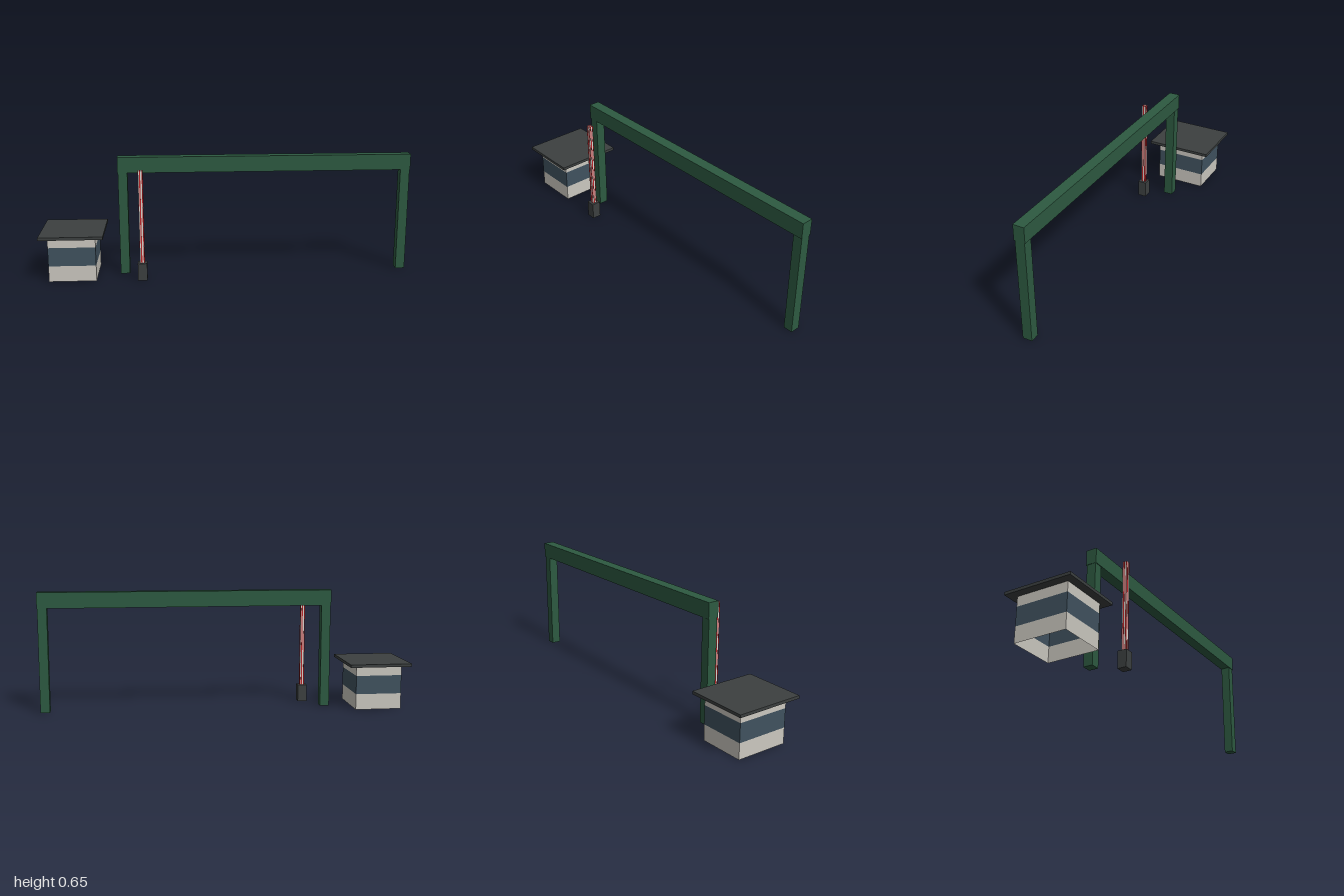
import * as THREE from 'three';

export function createModel() {
  const group = new THREE.Group();
  group.name = 'entranceGate';

  const mat = (name, hex) => {
    const m = new THREE.MeshStandardMaterial({ color: hex });
    m.name = name;
    return m;
  };
  const green = mat('gateGreen', 0x2d5a41);
  const charcoal = mat('charcoal', 0x3c4040);
  const plaster = mat('paleWall', 0xcbc8c0);
  const glass = mat('windowBlue', 0x40525f);
  const red = mat('signalRed', 0xbe2428);
  const white = mat('poleWhite', 0xd8d6d0);
  plaster.side = glass.side = THREE.DoubleSide;

  // box given by its lower and upper limits
  const box = (name, material, [x0, x1], [y0, y1], [z0, z1], parent = group) => {
    const mesh = new THREE.Mesh(new THREE.BoxGeometry(x1 - x0, y1 - y0, z1 - z0), material);
    mesh.position.set((x0 + x1) / 2, (y0 + y1) / 2, (z0 + z1) / 2);
    mesh.name = name;
    parent.add(mesh);
    return mesh;
  };

  // gate frame: two posts and a slightly deeper beam
  box('leftPost', green, [0.948, 0.998], [0, 0.563], [-0.026, 0.026]);
  box('rightPost', green, [-0.583, -0.533], [0, 0.563], [-0.026, 0.026]);
  box('beam', green, [-0.585, 1], [0.563, 0.648], [-0.03, 0.03]);

  // guard booth: thin wall rings, open underneath, with a flat roof
  const booth = new THREE.Group();
  booth.name = 'booth';
  booth.position.x = -0.831;
  group.add(booth);
  const hx = 0.126, hz = 0.144;
  const wallRing = (name, material, y0, y1) => {
    const ring = new THREE.Group();
    ring.name = name;
    for (let i = 0; i < 4; i++) {
      const alongX = i % 2 === 0;
      const wall = new THREE.Mesh(new THREE.PlaneGeometry(2 * (alongX ? hx : hz), y1 - y0), material);
      const a = (i * Math.PI) / 2;
      wall.position.set(Math.sin(a) * hx, (y0 + y1) / 2, Math.cos(a) * hz);
      wall.rotation.y = a;
      wall.name = 'wallPanel';
      ring.add(wall);
    }
    booth.add(ring);
  };
  wallRing('lowerWall', plaster, 0, 0.086);
  wallRing('windowBand', glass, 0.086, 0.187);
  wallRing('upperWall', plaster, 0.187, 0.24);
  box('roof', charcoal, [-0.169, 0.169], [0.24, 0.256], [-0.187, 0.187], booth);

  // raised barrier: housing and striped upright arm
  const barrier = new THREE.Group();
  barrier.name = 'barrier';
  barrier.position.set(-0.459, 0, 0.129);
  group.add(barrier);
  box('barrierHousing', charcoal, [-0.025, 0.025], [0, 0.094], [-0.025, 0.025], barrier);
  const w = 0.0115, bottom = 0.094, top = 0.596;
  box('barrierArm', white, [-w, w], [bottom, top], [-w, w], barrier);

  // red stripes on each side of the arm, and on its tip
  const stripes = [[-0.0065, -0.0003], [0.007, w]];
  for (let i = 0; i < 4; i++) {
    const side = new THREE.Group();
    side.name = 'armStripes';
    side.rotation.y = (i * Math.PI) / 2;
    barrier.add(side);
    for (const s of stripes) box('redStripe', red, s, [bottom, top], [w, w + 0.001], side);
  }
  for (const s of stripes) box('tipStripe', red, s, [top, top + 0.001], [-w, w], barrier);

  return group;
}
